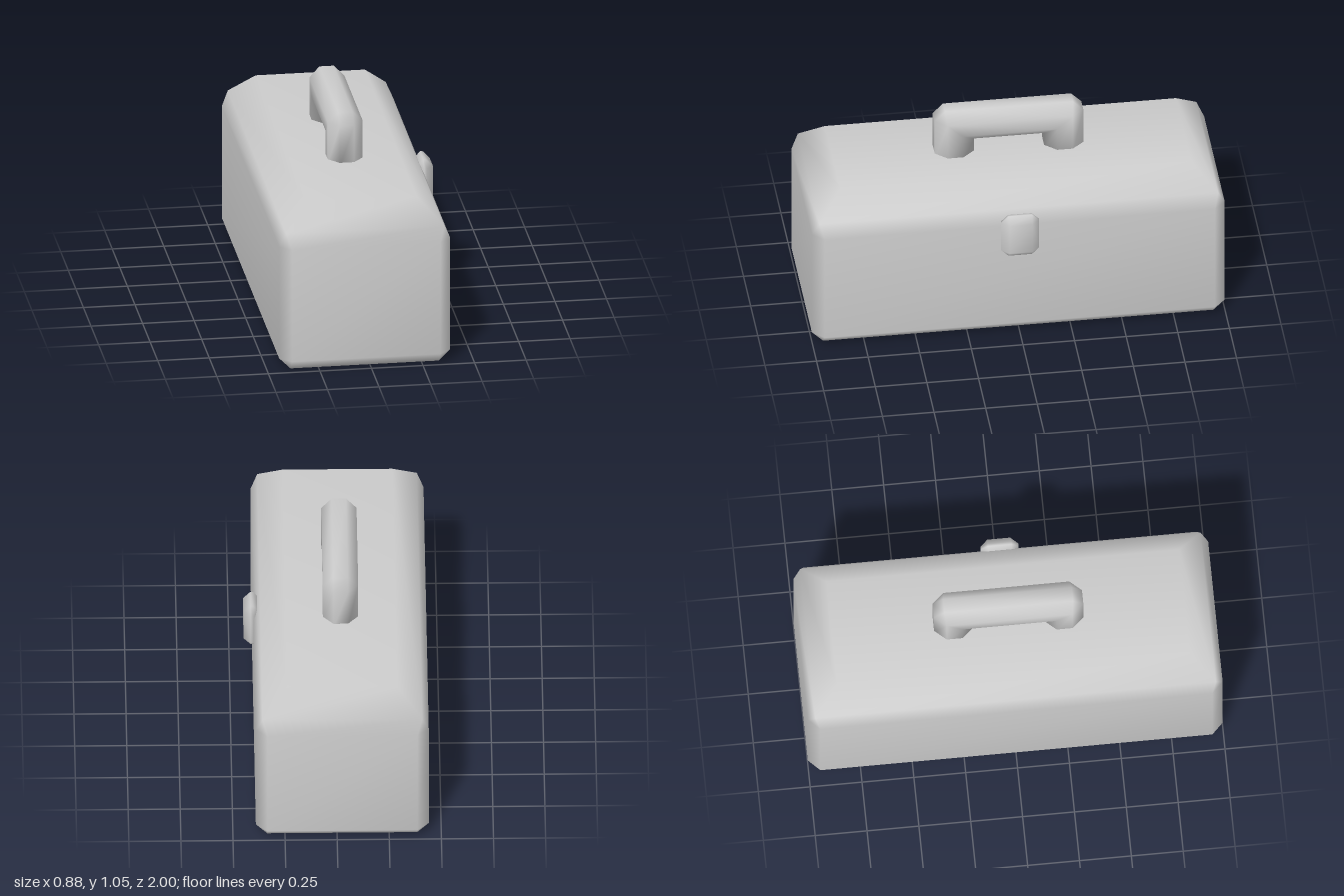
import * as THREE from 'three';
import { mergeVertices } from 'three/addons/utils/BufferGeometryUtils.js';

const CENTRE_X = -0.025;

// Rectangle with cut corners, counter-clockwise in (u, v)
function cutRect(a, b, ca, cb = ca) {
  return [
    [a, -b + cb], [a, b - cb], [a - ca, b], [-a + ca, b],
    [-a, b - cb], [-a, -b + cb], [-a + ca, -b], [a - ca, -b],
  ];
}

// Smooth closed skin through rings of equal length, capped at both ends
function loft(rings) {
  const n = rings[0].length;
  const index = [];
  for (let r = 0; r < rings.length - 1; r++) {
    for (let i = 0; i < n; i++) {
      const j = (i + 1) % n;
      const a = r * n + i, b = r * n + j;
      index.push(a, b, b + n, a, b + n, a + n);
    }
  }
  const last = (rings.length - 1) * n;
  for (let i = 1; i < n - 1; i++) {
    index.push(0, i + 1, i);
    index.push(last, last + i, last + i + 1);
  }
  const geometry = new THREE.BufferGeometry();
  geometry.setAttribute('position', new THREE.Float32BufferAttribute(rings.flat(2), 3));
  geometry.setIndex(index);
  const merged = mergeVertices(geometry, 1e-4);
  merged.computeVertexNormals();
  return merged;
}

// Box body: [height, half depth, half width, corner cut]
function bodyGeometry() {
  const levels = [
    [0, 0.945, 0.36, 0],
    [0.055, 1, 0.415, 0.055],
    [0.628, 1, 0.415, 0.055],
    [0.7, 0.965, 0.383, 0],
    [0.815, 0.85, 0.265, 0],
  ];
  return loft(levels.map(([y, hz, hx, cut]) =>
    cutRect(hz, hx, cut).map(([z, x]) => [CENTRE_X + x, y, z])));
}

// Handle: octagonal section swept up, across and down with bevelled outer corners
function handleGeometry() {
  const section = cutRect(0.5, 0.085, 0.3, 0.05).map(([v, x]) => [v + 0.5, x]);
  const legZ = (v) => 0.17 + 0.19 * v;
  const barY = (v) => 0.885 + 0.17 * v;
  const half = [
    (v) => [0.79, legZ(v)],
    (v) => [Math.min(barY(v), 1.004), legZ(v)],
    (v) => [barY(v), Math.min(legZ(v), 0.31)],
  ];
  const ring = (at, side) => section.map(([v, x]) => {
    const [y, z] = at(v);
    return [CENTRE_X + x, y, side * z];
  });
  return loft([
    ...half.map((at) => ring(at, 1)),
    ...half.slice().reverse().map((at) => ring(at, -1)),
  ]);
}

// Latch: bevelled block standing out of the left wall
function latchGeometry() {
  const levels = [
    [0.36, 0.08, 0.055, 0],
    [0.39, 0.115, 0.092, 0.035],
    [0.403, 0.115, 0.092, 0.035],
    [0.437, 0.08, 0.055, 0],
  ];
  return loft(levels.map(([x, hy, hz, cut]) =>
    cutRect(hy, hz, cut).map(([y, z]) => [x, 0.575 + y, z])));
}

export function createModel() {
  const grey = new THREE.MeshStandardMaterial({ color: 0xcccccc });
  grey.name = 'light grey';
  const model = new THREE.Group();
  model.name = 'toolbox';
  const parts = { body: bodyGeometry(), handle: handleGeometry(), latch: latchGeometry() };
  for (const [name, geometry] of Object.entries(parts)) {
    const mesh = new THREE.Mesh(geometry, grey);
    mesh.name = name;
    model.add(mesh);
  }
  return model;
}
